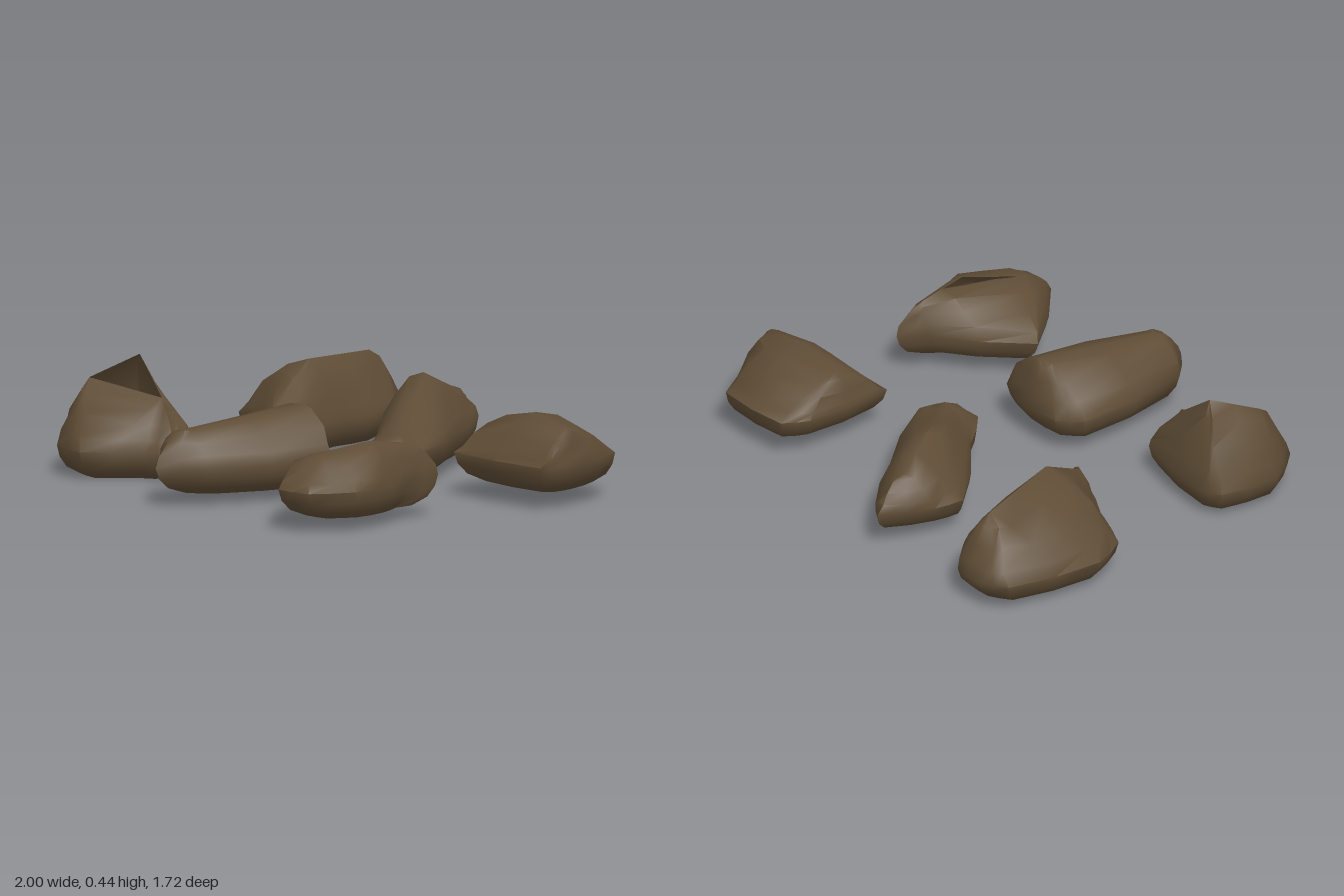
import * as THREE from 'three';
import { mergeVertices, toCreasedNormals } from 'three/addons/utils/BufferGeometryUtils.js';

const GIRTH = 0.11; // height of the widest girth above the underside

function seeded(seed) {
  let s = seed;
  return () => { s = (s * 16807) % 2147483647; return s / 2147483647 - 0.5; };
}

// Adds a slightly bulged midpoint to every edge of a plan outline.
function refineOutline(outline) {
  return outline.flatMap(([x, z], i) => {
    const [u, v] = outline[(i + 1) % outline.length];
    return [[x, z], [(x + u) / 2 + (v - z) * -0.04, (z + v) / 2 + (u - x) * 0.04]];
  });
}

// Lofts rings from the underside, out to the plan outline [x, z] and up to the
// crest line [x, y, z]; a larger fullness makes the flanks rounder.
function rockGeometry(outline, crest, base, fullness, seed) {
  const rand = seeded(seed);
  const area = outline.reduce((a, [x, z], i) => {
    const [u, v] = outline[(i + 1) % outline.length];
    return a + x * v - u * z;
  }, 0);
  const plan = refineOutline(area > 0 ? [...outline].reverse() : outline);
  const n = plan.length;
  const cx = plan.reduce((a, p) => a + p[0], 0) / n;
  const cz = plan.reduce((a, p) => a + p[1], 0) / n;
  const ridge = crest.flatMap((p, i) => {
    const q = crest[i + 1];
    return q ? [p, p.map((value, k) => (value + q[k]) / 2)] : [p];
  });
  const rings = [];

  // underside
  for (const [inset, height] of [[1, 0], [0.34, 0], [0.14, 0.25], [0.04, 0.6]]) {
    rings.push(plan.map(([x, z]) =>
      [x + (cx - x) * inset, base + GIRTH * height, z + (cz - z) * inset]));
  }
  // flanks and crest
  for (const s of [0, 0.14, 0.38, 0.68, 1]) {
    const rise = 1 - Math.pow(1 - s, fullness);
    const rough = s > 0 && s < 1 ? 0.02 : 0;
    rings.push(plan.map(([x, z]) => {
      const [nx, ny, nz] = ridge.reduce((a, b) =>
        Math.hypot(b[0] - x, b[2] - z) < Math.hypot(a[0] - x, a[2] - z) ? b : a);
      const y = base + GIRTH;
      return [x + (nx - x) * s + rand() * rough, y + (ny - y) * rise + rand() * rough,
        z + (nz - z) * s + rand() * rough];
    }));
  }

  const index = [];
  for (let r = 0; r < rings.length - 1; r++) {
    for (let i = 0; i < n; i++) {
      const k = (i + 1) % n;
      const a = r * n + i, b = r * n + k;
      if (r > 0) index.push(a, b, b + n);
      if (rings[r + 1][i].some((value, c) => value !== rings[r + 1][k][c])) index.push(a, b + n, a + n);
    }
  }
  const geometry = new THREE.BufferGeometry();
  geometry.setAttribute('position', new THREE.Float32BufferAttribute(rings.flat(2), 3));
  geometry.setIndex(index);
  return toCreasedNormals(mergeVertices(geometry, 1e-4), 0.95);
}

export function createModel() {
  const group = new THREE.Group();
  group.name = 'rocks';
  const stone = new THREE.MeshStandardMaterial({ color: 0x5e4c35, side: THREE.DoubleSide });
  stone.name = 'brownStone';

  const addRock = (name, outline, crest, base, fullness) => {
    const seed = 17 + group.children.length * 101;
    const mesh = new THREE.Mesh(rockGeometry(outline, crest, base, fullness, seed), stone);
    mesh.name = name;
    group.add(mesh);
  };

  // front row
  addRock('peakedRock',
    [[-0.9, 0.3], [-0.82, 0.26], [-0.43, 0.34], [-0.41, 0.48], [-0.5, 0.54], [-0.65, 0.74], [-0.83, 0.71], [-0.94, 0.55]],
    [[-0.56, 0.3, 0.41], [-0.75, 0.44, 0.37], [-0.82, 0.36, 0.56]], 0, 1.6);
  addRock('taperedRock',
    [[-0.18, 0.23], [-0.1, 0.15], [0.1, 0.15], [0.24, 0.2], [0.11, 0.7], [-0.02, 0.86], [-0.15, 0.74]],
    [[0.06, 0.34, 0.21], [-0.02, 0.29, 0.72]], 0.04, 2.4);
  addRock('pointedRock',
    [[0.38, 0.48], [0.71, 0.2], [0.78, 0.11], [0.79, 0.24], [0.87, 0.4], [0.9, 0.6], [0.82, 0.77], [0.67, 0.8]],
    [[0.75, 0.29, 0.22], [0.75, 0.32, 0.42], [0.67, 0.28, 0.62]], 0.05, 2.2);

  // back row
  addRock('ridgedRock',
    [[-0.92, -0.8], [-0.82, -0.86], [-0.68, -0.85], [-0.57, -0.72], [-0.53, -0.45], [-0.45, -0.12],
      [-0.46, -0.03], [-0.76, -0.18], [-0.93, -0.25], [-1, -0.41]],
    [[-0.72, 0.34, -0.72], [-0.62, 0.36, -0.35], [-0.53, 0.22, -0.11]], 0.01, 1.6);
  addRock('longRock',
    [[-0.33, -0.52], [-0.31, -0.64], [-0.21, -0.85], [-0.13, -0.79], [0.07, -0.54], [0.31, -0.19],
      [0.29, -0.08], [0.12, -0.05], [-0.02, -0.21]],
    [[-0.2, 0.28, -0.7], [-0.12, 0.36, -0.52], [0.18, 0.2, -0.16]], 0.04, 1.9);
  addRock('blockyRock',
    [[0.48, -0.2], [0.49, -0.58], [0.55, -0.68], [0.87, -0.68], [0.98, -0.44], [1, -0.3], [0.97, -0.24]],
    [[0.54, 0.3, -0.41], [0.74, 0.34, -0.4], [0.94, 0.31, -0.39]], 0.06, 1.7);
  return group;
}
